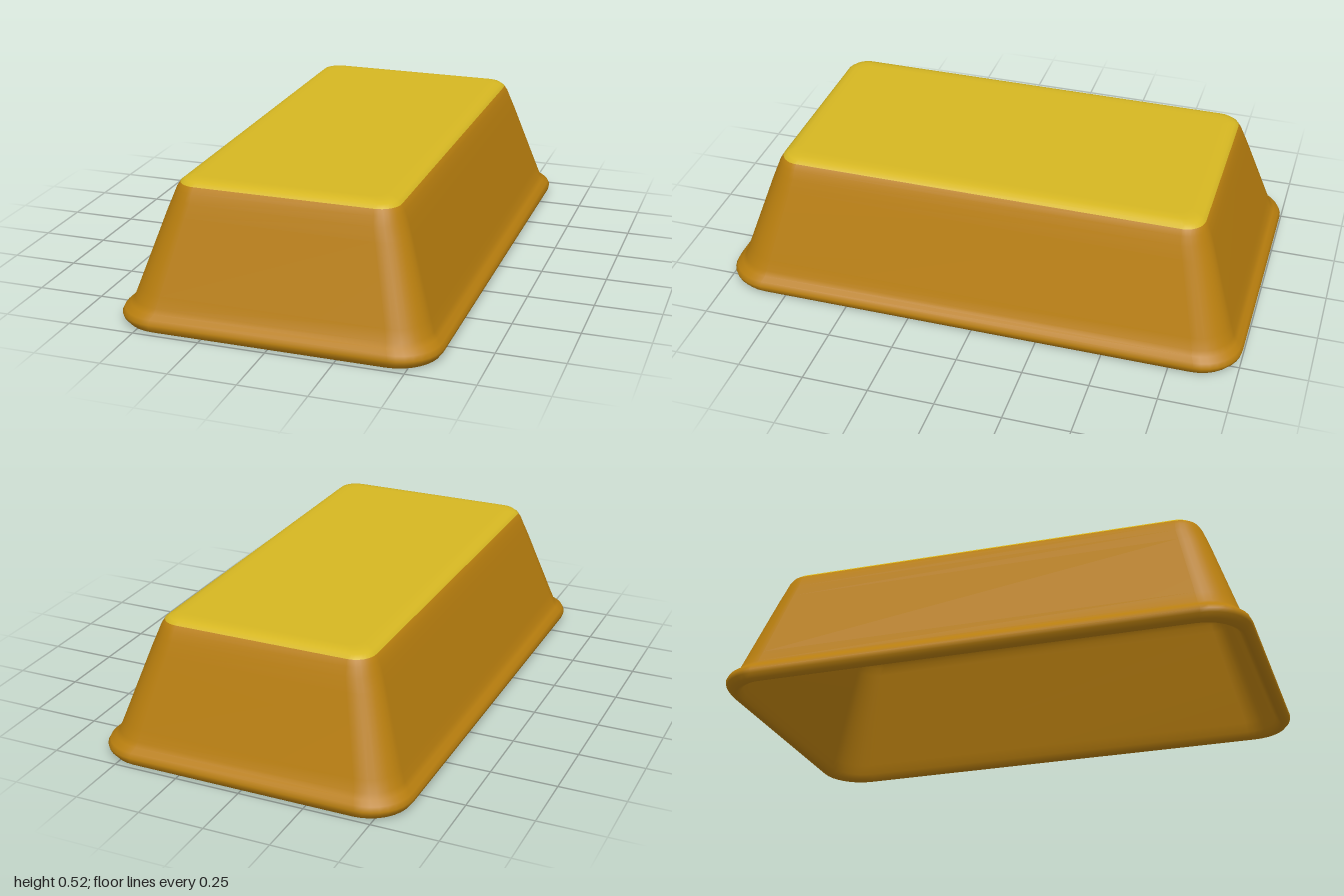
import * as THREE from 'three';

const CORNER_STEPS = 8;
const LENGTH_EXTRA = 0.405; // the pan is this much longer than wide, per half

// Rounded rectangle of half width w and corner radius r, at height y
function ring([w, y, r]) {
  const points = [];
  const l = w + LENGTH_EXTRA;
  [[1, 1], [-1, 1], [-1, -1], [1, -1]].forEach(([sx, sz], quarter) => {
    for (let i = 0; i <= CORNER_STEPS; i++) {
      const t = (quarter + i / CORNER_STEPS) * Math.PI / 2;
      points.push(sx * (w - r) + r * Math.cos(t), y, sz * (l - r) + r * Math.sin(t));
    }
  });
  return points;
}

// Half width, height, corner radius: inside ceiling, down to the rim, up to the top
const profile = [
  [0.30, 0.492, 0.04], [0.345, 0.492, 0.06], [0.375, 0.482, 0.07], [0.392, 0.455, 0.08],
  [0.402, 0.425, 0.085], [0.525, 0.065, 0.12], [0.54, 0.03, 0.13], [0.55, 0.012, 0.14],
  [0.562, 0.005, 0.145], [0.58, 0.011, 0.15], [0.592, 0.028, 0.155], [0.595, 0.043, 0.155],
  [0.587, 0.06, 0.15], [0.568, 0.075, 0.14], [0.555, 0.092, 0.13], [0.54, 0.135, 0.125],
  [0.45, 0.405, 0.1], [0.433, 0.452, 0.095], [0.42, 0.485, 0.085], [0.407, 0.506, 0.075],
  [0.392, 0.518, 0.065], [0.37, 0.524, 0.055], [0.34, 0.525, 0.045],
];
const OUTER_START = 8;
const TOP_START = 19;

export function createModel() {
  const orange = new THREE.MeshStandardMaterial({ color: 0xb87e0e });
  orange.name = 'amber orange';
  const yellow = new THREE.MeshStandardMaterial({ color: 0xd6b722 });
  yellow.name = 'golden yellow';

  const group = new THREE.Group();
  group.name = 'upturnedPan';

  // One continuous skin, so shading stays smooth across the parts
  const n = 4 * (CORNER_STEPS + 1);
  const last = profile.length - 1;
  const positions = profile.flatMap(ring);
  const ceilingCentre = positions.length / 3;
  positions.push(0, profile[0][1], 0, 0, profile[last][1], 0);

  const band = (from, to) => {
    const index = [];
    for (let i = from; i < to; i++) {
      for (let j = 0; j < n; j++) {
        const k = (j + 1) % n;
        const a = i * n + j, b = i * n + k;
        index.push(a, a + n, b, b, a + n, b + n);
      }
    }
    return index;
  };
  const cap = (row, centre, flip) => {
    const index = [];
    for (let j = 0; j < n; j++) {
      const a = row * n + j, b = row * n + (j + 1) % n;
      index.push(centre, ...(flip ? [a, b] : [b, a]));
    }
    return index;
  };

  const inside = [...cap(0, ceilingCentre, true), ...band(0, OUTER_START)];
  const outside = band(OUTER_START, TOP_START);
  const top = [...band(TOP_START, last), ...cap(last, ceilingCentre + 1, false)];

  const skin = new THREE.BufferGeometry();
  skin.setAttribute('position', new THREE.Float32BufferAttribute(positions, 3));
  skin.setIndex([...inside, ...outside, ...top]);
  skin.computeVertexNormals();

  const addPart = (name, index, material) => {
    const geometry = new THREE.BufferGeometry();
    geometry.setAttribute('position', skin.attributes.position);
    geometry.setAttribute('normal', skin.attributes.normal);
    geometry.setIndex(index);
    const mesh = new THREE.Mesh(geometry, material);
    mesh.name = name;
    group.add(mesh);
  };
  addPart('innerShell', inside, orange);
  addPart('outerWallsAndRim', outside, orange);
  addPart('topPanel', top, yellow);

  // Shallow pad with two cross ridges under the ceiling
  const addBox = (name, w, h, d, y, z) => {
    const mesh = new THREE.Mesh(new THREE.BoxGeometry(w, h, d), orange);
    mesh.name = name;
    mesh.position.set(0, y, z);
    group.add(mesh);
  };
  addBox('ceilingPad', 0.3, 0.008, 0.52, 0.49, -0.02);
  for (const z of [-0.23, 0.18]) addBox('ceilingRidge', 0.2, 0.022, 0.025, 0.482, z);

  return group;
}
